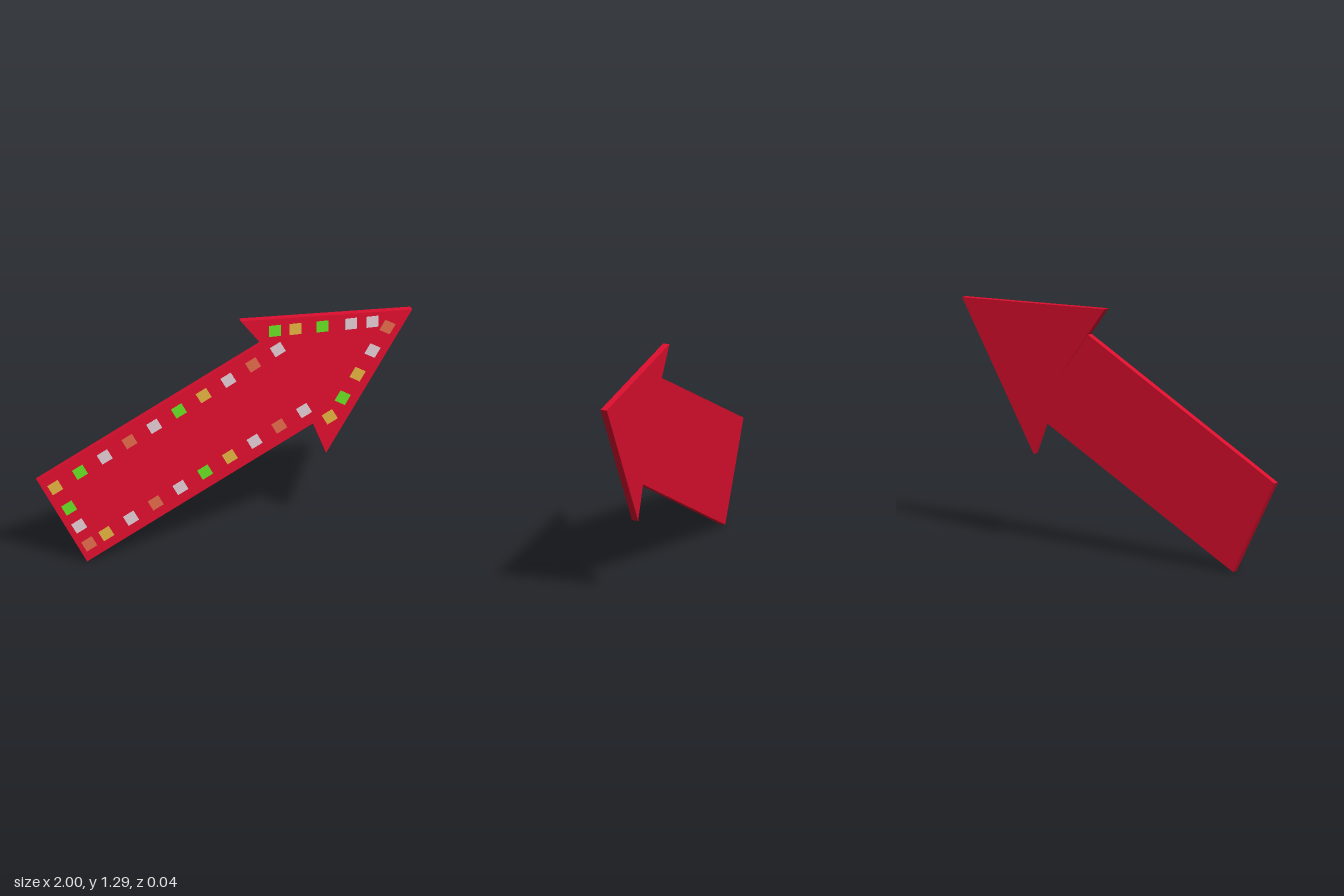
import * as THREE from 'three';

const FRONT = 0.0165;
const mat = (color) => new THREE.MeshStandardMaterial({ color, flatShading: true });

// Flat plate from an outline, spanning z = back .. FRONT
function plate(name, points, back, material) {
  const shape = new THREE.Shape(points.map(([x, y]) => new THREE.Vector2(x, y)));
  const geo = new THREE.ExtrudeGeometry(shape, { depth: FRONT - back, bevelEnabled: false });
  geo.translate(0, 0, back);
  const mesh = new THREE.Mesh(geo, material);
  mesh.name = name;
  return mesh;
}

export function createModel() {
  const model = new THREE.Group();
  model.name = 'arrowSign';
  const red = mat(0xdd0e2e);

  // Shaft, ending in a point where it meets the notched head
  model.add(plate('shaft',
    [[-1, 0.5], [-0.735, 0.003], [0.467, 0.653], [0.363, 0.917], [0.192, 1.143]], -0.0155, red));
  // Head, slightly thicker towards the back
  model.add(plate('head',
    [[0.083, 1.29], [0.363, 0.917], [0.537, 0.475], [0.995, 1.247]], -0.018, red));

  // Square lights
  const colors = { G: mat(0x66dd22), Y: mat(0xe0b040), O: mat(0xe06848), W: mat(0xe0c8d0) };
  const lightGeo = new THREE.BoxGeometry(0.063, 0.063, 0.006);
  const lights = new THREE.Group();
  lights.name = 'lights';
  model.add(lights);
  function light(key, x, y, angle) {
    const mesh = new THREE.Mesh(lightGeo, colors[key]);
    mesh.name = 'light';
    mesh.position.set(x, y, FRONT - 0.001);
    mesh.rotation.z = angle;
    lights.add(mesh);
  }
  // Evenly spaced row from a to b, one light per colour key
  function row(keys, a, b, angle) {
    [...keys].forEach((key, i) => {
      const t = i / (keys.length - 1);
      light(key, a[0] + (b[0] - a[0]) * t, a[1] + (b[1] - a[1]) * t, angle);
    });
  }
  const shaftAngle = Math.atan2(0.65, 1.2);
  const tipAngle = Math.atan2(0.772, 0.458);
  row('YGWOWGYWOW', [-0.905, 0.451], [0.28, 1.103], shaftAngle); // upper edge
  row('YWOWGYWOW', [-0.633, 0.152], [0.419, 0.734], shaftAngle); // lower edge
  row('GWO', [-0.831, 0.324], [-0.724, 0.104], shaftAngle); // tail end
  row('OWYG', [0.863, 1.162], [0.625, 0.783], tipAngle); // sloping head edge
  light('Y', 0.556, 0.681, shaftAngle);
  [['G', 0.264], ['Y', 0.374], ['G', 0.518], ['W', 0.67], ['W', 0.783]]
    .forEach(([key, x]) => light(key, x, 1.218 - 0.02 * x, 0)); // top head edge

  return model;
}
